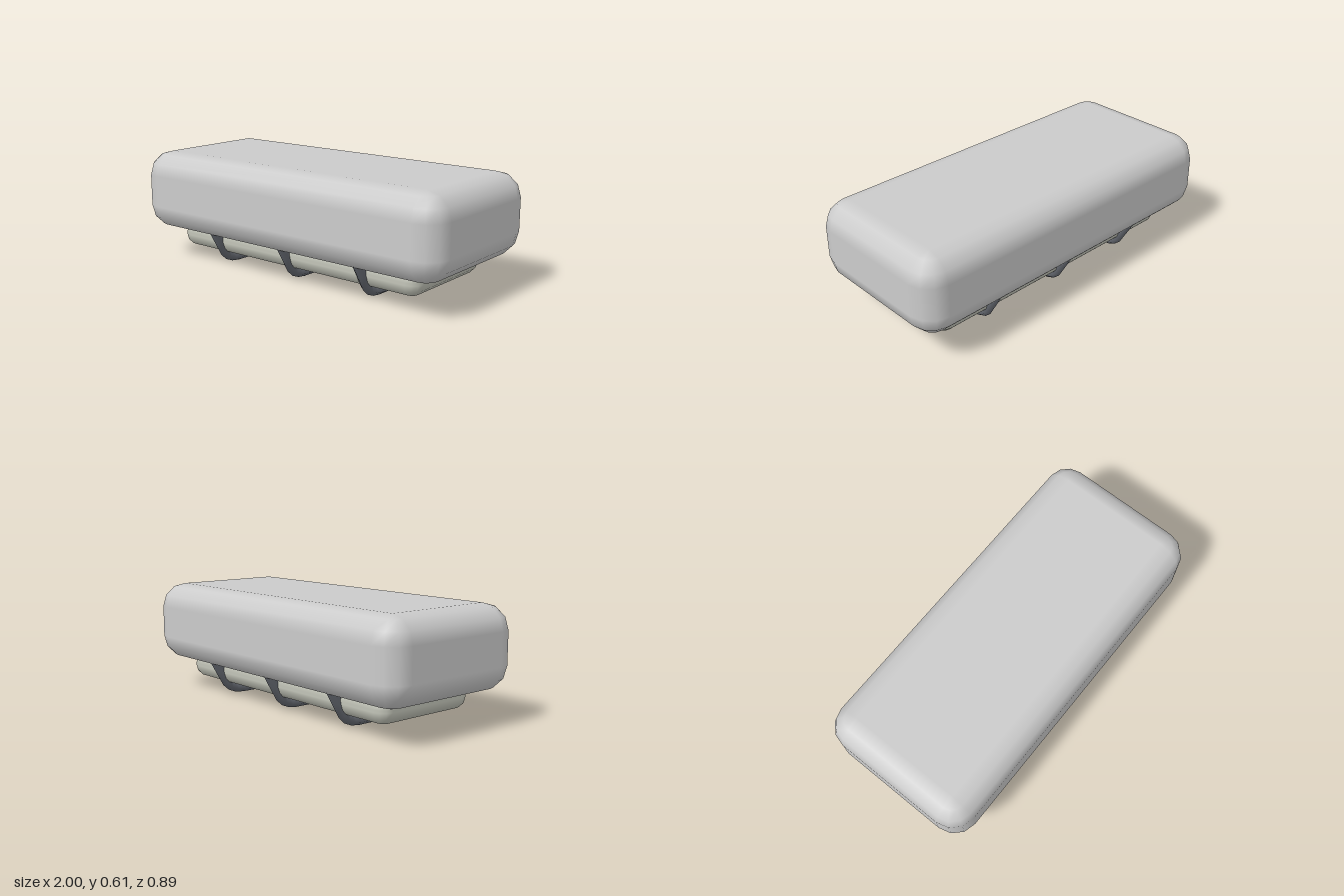
import * as THREE from 'three';

const grey = new THREE.MeshStandardMaterial({ color: 0xcccccc });
const pale = new THREE.MeshStandardMaterial({ color: 0xc2c4b8 });
const dark = new THREE.MeshStandardMaterial({ color: 0x666a72 });

// Skin closed rings of { p, n } (point and normal), optionally closing both ends
function loft(rings, caps) {
  const count = rings[0].length;
  const index = [];
  for (let j = 0; j < rings.length - 1; j++) {
    for (let i = 0; i < count; i++) {
      const k = (i + 1) % count;
      const a = j * count + i, b = j * count + k;
      index.push(a, a + count, b, b, a + count, b + count);
    }
  }
  if (caps) {
    const last = (rings.length - 1) * count;
    for (let i = 1; i < count - 1; i++) {
      index.push(0, i, i + 1, last, last + i + 1, last + i);
    }
  }
  const all = rings.flat();
  const geometry = new THREE.BufferGeometry();
  geometry.setAttribute('position', new THREE.Float32BufferAttribute(all.flatMap(v => v.p.toArray()), 3));
  geometry.setAttribute('normal', new THREE.Float32BufferAttribute(all.flatMap(v => v.n.toArray()), 3));
  geometry.setIndex(index);
  return geometry;
}

// Box with rounded edges and ball corners, three facets per quarter turn
function roundedBox(w, h, d, r) {
  const step = Math.PI / 6;
  const rings = [];
  for (const sy of [-1, 1]) {
    for (let j = 0; j <= 3; j++) {
      const lat = (sy < 0 ? j - 3 : j) * step;
      const ring = [];
      for (let k = 0; k < 4; k++) {
        const sx = k === 0 || k === 3 ? 1 : -1;
        const sz = k < 2 ? 1 : -1;
        const centre = new THREE.Vector3(sx * (w / 2 - r), sy * (h / 2 - r), sz * (d / 2 - r));
        for (let i = 0; i <= 3; i++) {
          const lon = (k * 3 + i) * step;
          const n = new THREE.Vector3(
            Math.cos(lon) * Math.cos(lat), Math.sin(lat), Math.sin(lon) * Math.cos(lat));
          ring.push({ p: centre.clone().addScaledVector(n, r), n });
        }
      }
      rings.push(ring);
    }
  }
  return loft(rings, true);
}

// Five-sided bar bent into a U, with one ridge facing outwards
function strapGeometry(r) {
  const half = [[0.38, 0.27], [0.365, 0.222], [0.32, 0.145], [0.281, 0.078],
    [0.251, 0.052], [0.212, 0.037], [0.165, 0.032]];
  const path = [...half, ...half.map(([z, y]) => [-z, y]).reverse()]
    .map(([z, y]) => new THREE.Vector3(0, y, z));
  const side = new THREE.Vector3(1, 0, 0);
  const rings = path.map((point, j) => {
    const before = point.clone().sub(path[Math.max(j - 1, 0)]).normalize();
    const after = path[Math.min(j + 1, path.length - 1)].clone().sub(point).normalize();
    const tangent = before.add(after).normalize();
    const out = new THREE.Vector3().crossVectors(tangent, side);
    return Array.from({ length: 5 }, (_, i) => {
      const a = i / 5 * Math.PI * 2;
      const n = out.clone().multiplyScalar(Math.cos(a)).addScaledVector(side, Math.sin(a));
      return { p: point.clone().addScaledVector(n, r), n };
    });
  });
  return loft(rings, false);
}

export function createModel() {
  const model = new THREE.Group();
  const add = (name, geometry, material, x, y) => {
    const mesh = new THREE.Mesh(geometry, material);
    mesh.name = name;
    mesh.position.set(x, y, 0);
    model.add(mesh);
  };

  // Main block and the smaller pad beneath it
  add('body', roundedBox(2, 0.442, 0.886, 0.133), grey, 0, 0.396);
  add('underPad', roundedBox(1.63, 0.147, 0.62, 0.067), pale, 0, 0.1435);

  // Three straps cradling the pad
  const strap = strapGeometry(0.0287);
  [['rightStrap', -0.5], ['middleStrap', 0], ['leftStrap', 0.5]]
    .forEach(([name, x]) => add(name, strap, dark, x, 0));

  // Rest the straps on the ground
  const bottom = new THREE.Box3().setFromObject(model).min.y;
  model.children.forEach(mesh => { mesh.position.y -= bottom; });
  return model;
}
